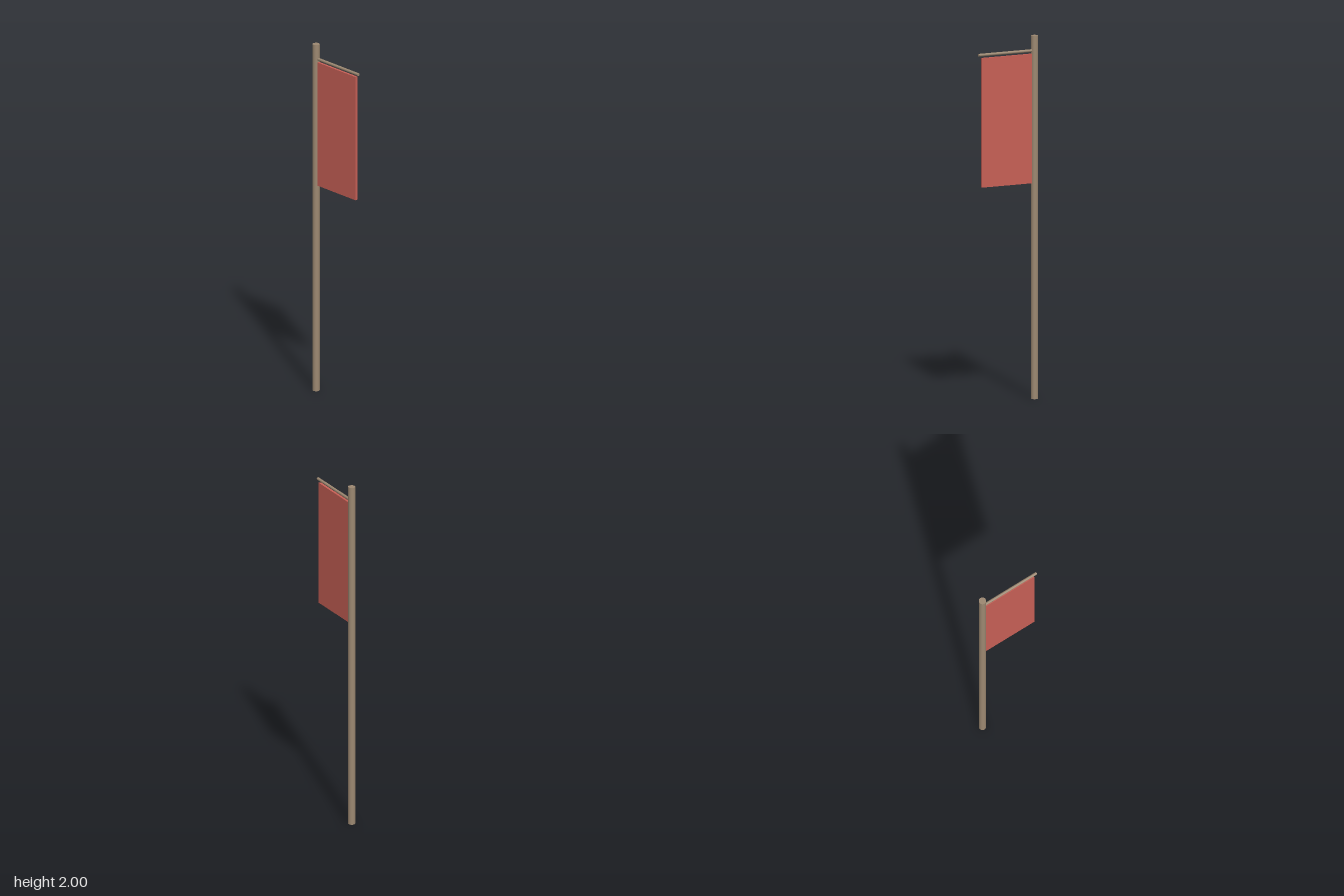
import * as THREE from 'three';

export function createModel() {
  const group = new THREE.Group();
  const wood = new THREE.MeshStandardMaterial({ color: 0x9c8871 });
  wood.name = 'wood';
  const cloth = new THREE.MeshStandardMaterial({ color: 0xc86056 });
  cloth.name = 'red cloth';

  const add = (name, geometry, material, x, y) => {
    const mesh = new THREE.Mesh(geometry, material);
    mesh.name = name;
    mesh.position.set(x, y, 0);
    group.add(mesh);
  };

  const poleX = -0.165;

  // Upright pole
  add('pole', new THREE.CylinderGeometry(0.02, 0.02, 2, 24), wood, poleX, 1);

  // Thin rod from the pole's axis out past the banner
  const rodLength = 0.185 - poleX;
  const rod = new THREE.CylinderGeometry(0.008, 0.008, rodLength, 12).rotateZ(Math.PI / 2);
  add('crossbar', rod, wood, poleX + rodLength / 2, 1.917);

  // Hanging cloth panel, its inner edge set into the pole
  const left = -0.155, right = 0.167, bottom = 1.188, top = 1.9;
  add('banner', new THREE.BoxGeometry(right - left, top - bottom, 0.014), cloth,
    (left + right) / 2, (bottom + top) / 2);

  return group;
}
